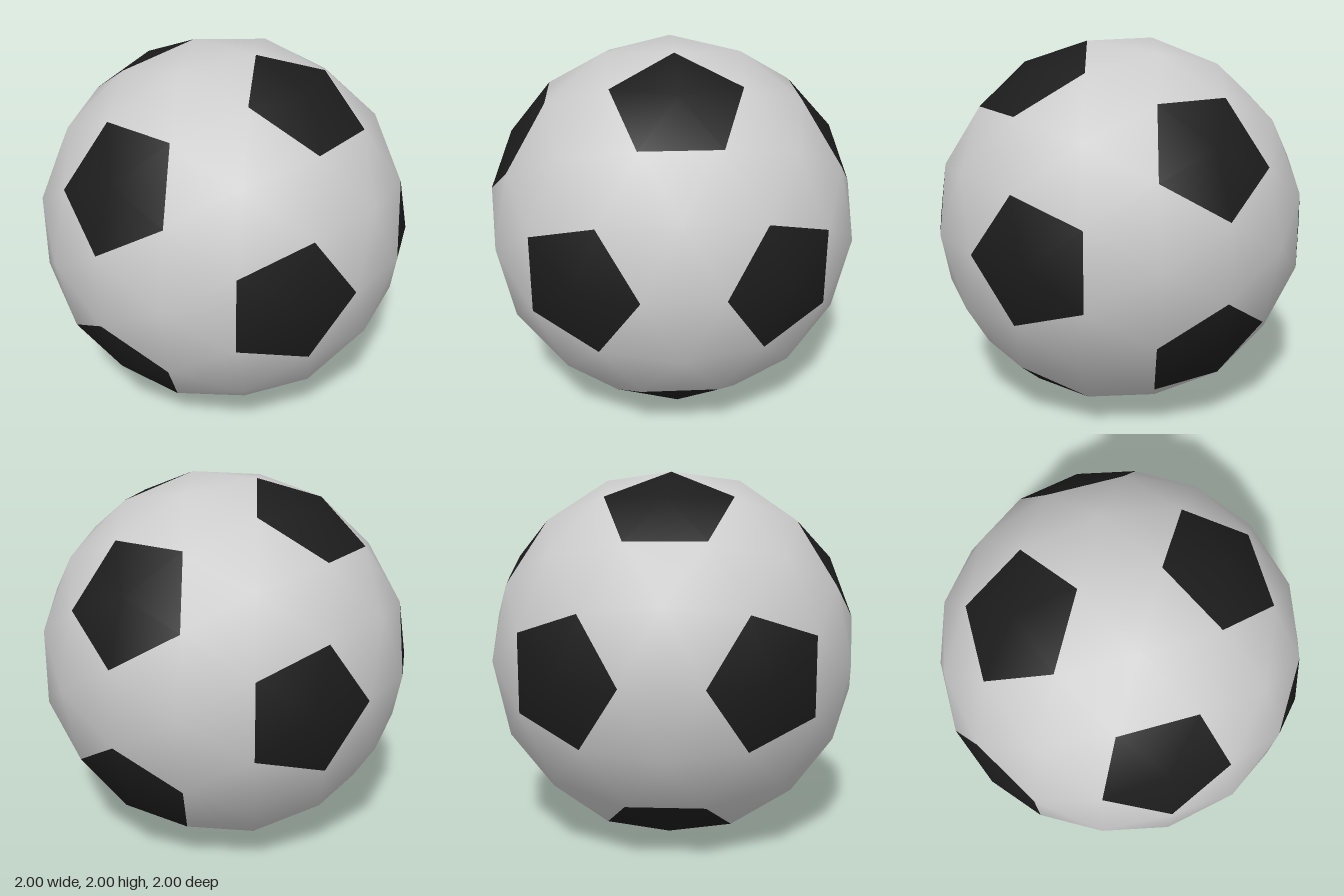
import * as THREE from 'three';

const PHI = (1 + Math.sqrt(5)) / 2;
const SCALE = 1 / (3 * PHI); // outermost seams land at distance 1
const RADIUS = Math.hypot(1, SCALE);

// The 12 icosahedron corners, one under each dark panel
function icosahedronCorners() {
  const corners = [];
  for (const a of [-1, 1]) for (const b of [-PHI, PHI]) {
    corners.push(new THREE.Vector3(0, a, b), new THREE.Vector3(a, b, 0), new THREE.Vector3(b, 0, a));
  }
  return corners;
}

// Point one third of the way along an edge: a corner of the panels
const seamPoint = (from, to) => from.clone().multiplyScalar(2).add(to).multiplyScalar(SCALE);

// Fan of triangles around a centre raised to the sphere, with smooth radial normals
function panel(name, ring, material) {
  const centre = new THREE.Vector3();
  ring.forEach(p => centre.add(p));
  centre.setLength(RADIUS);

  // order the ring counter-clockwise seen from outside
  const u = ring[0].clone().projectOnPlane(centre).normalize();
  const v = centre.clone().normalize().cross(u);
  const angle = p => Math.atan2(p.dot(v), p.dot(u));
  const sorted = [...ring].sort((a, b) => angle(a) - angle(b));

  const points = [centre, ...sorted];
  const index = [];
  sorted.forEach((_, i) => index.push(0, i + 1, (i + 1) % sorted.length + 1));
  const geometry = new THREE.BufferGeometry().setFromPoints(points);
  geometry.setAttribute('normal', new THREE.Float32BufferAttribute(
    points.flatMap(p => p.clone().normalize().toArray()), 3));
  geometry.setIndex(index);

  const mesh = new THREE.Mesh(geometry, material);
  mesh.name = name;
  return mesh;
}

export function createModel() {
  const ball = new THREE.Group();
  ball.name = 'ball';
  const grey = new THREE.MeshStandardMaterial({ color: 0xcccccc });
  const black = new THREE.MeshStandardMaterial({ color: 0x1c1c1c });

  const corners = icosahedronCorners();
  const joined = (a, b) => Math.abs(a.distanceTo(b) - 2) < 0.01;

  // Dark five-sided panels, one per corner
  const pentagons = new THREE.Group();
  pentagons.name = 'pentagonPanels';
  for (const c of corners) {
    const ring = corners.filter(n => joined(c, n)).map(n => seamPoint(c, n));
    pentagons.add(panel('pentagonPanel', ring, black));
  }

  // Light six-sided panels, one per icosahedron face
  const hexagons = new THREE.Group();
  hexagons.name = 'hexagonPanels';
  corners.forEach((a, i) => corners.forEach((b, j) => corners.forEach((c, k) => {
    if (!(i < j && j < k && joined(a, b) && joined(b, c) && joined(a, c))) return;
    const ring = [[a, b], [b, a], [b, c], [c, b], [c, a], [a, c]].map(([p, q]) => seamPoint(p, q));
    hexagons.add(panel('hexagonPanel', ring, grey));
  })));

  ball.add(pentagons, hexagons);
  ball.position.y = 1;

  const model = new THREE.Group();
  model.name = 'footballModel';
  model.add(ball);
  return model;
}
